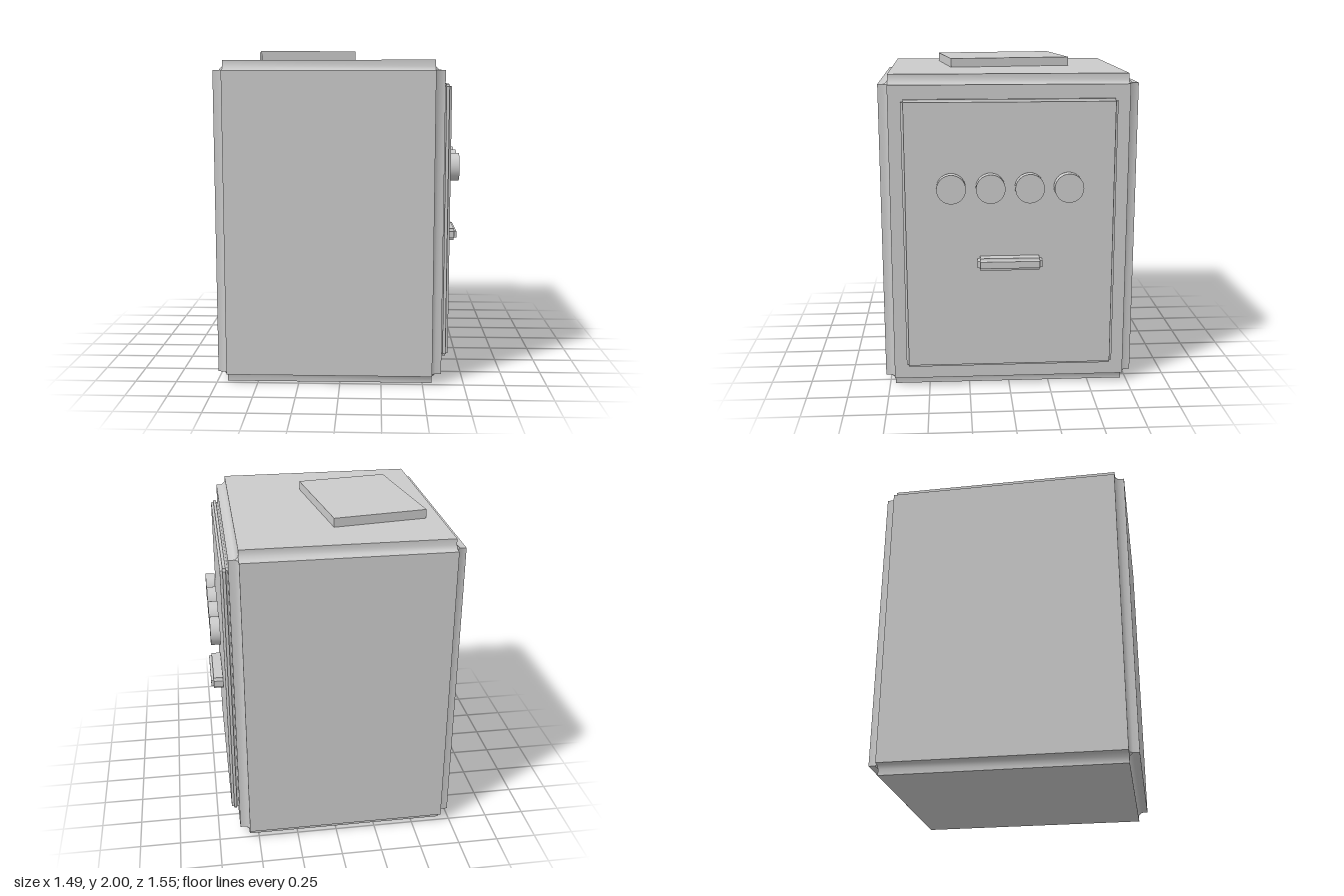
import * as THREE from 'three';

const material = new THREE.MeshStandardMaterial({ color: 0xcccccc });

// Box whose edges are cut by a stepped groove of depth i, with a small diagonal in its inner corner.
function groovedBox(name, min, max, i) {
  const half = max.map((m, k) => (m - min[k]) / 2);
  const positions = [], index = [], lookup = new Map();

  // Points in the same shading group share normals
  const vertex = (p, group) => {
    const key = group + p.map(v => v.toFixed(5)).join();
    if (!lookup.has(key)) {
      lookup.set(key, positions.length / 3);
      positions.push(...p);
    }
    return lookup.get(key);
  };
  // Adds a convex polygon, wound so that it faces along the hint
  const polygon = (points, hint, group) => {
    const [a, b, c] = points.map(p => new THREE.Vector3(...p));
    const normal = b.clone().sub(a).cross(c.clone().sub(a));
    const ring = normal.dot(new THREE.Vector3(...hint)) < 0 ? [...points].reverse() : points;
    const ids = ring.map(p => vertex(p, group));
    for (let n = 1; n < ids.length - 1; n++) index.push(ids[0], ids[n], ids[n + 1]);
  };

  const step = i * 0.64;
  const profile = [[0, i], [step, i], [i, step], [i, 0]];
  const signs = [-1, 1];

  for (let k = 0; k < 3; k++) {
    const u = (k + 1) % 3, v = (k + 2) % 3;

    // Flat faces across axis k
    for (const s of signs) {
      const corners = [[-1, -1], [1, -1], [1, 1], [-1, 1]].map(([a, b]) => {
        const p = [];
        p[k] = s * half[k];
        p[u] = a * (half[u] - i);
        p[v] = b * (half[v] - i);
        return p;
      });
      const hint = [0, 0, 0];
      hint[k] = s;
      polygon(corners, hint, 'face' + k + s);
    }

    // Grooves running along axis k
    for (const su of signs) for (const sv of signs) {
      const at = ([a, b], end) => {
        const p = [];
        p[k] = end * (half[k] - i);
        p[u] = su * (half[u] - a);
        p[v] = sv * (half[v] - b);
        return p;
      };
      const hint = [0, 0, 0];
      hint[u] = su;
      hint[v] = sv;
      for (let n = 0; n < 3; n++) {
        const a = profile[n], b = profile[n + 1];
        polygon([at(a, -1), at(b, -1), at(b, 1), at(a, 1)], hint, 'groove' + k + su + sv);
      }
    }
  }

  // Small triangle where three grooves meet
  for (const x of signs) for (const y of signs) for (const z of signs) {
    const s = [x, y, z];
    const points = [0, 1, 2].map(k => s.map((d, j) => d * (half[j] - (j === k ? step : i))));
    polygon(points, s, 'corner' + s);
  }

  const geometry = new THREE.BufferGeometry();
  geometry.setAttribute('position', new THREE.Float32BufferAttribute(positions, 3));
  geometry.setIndex(index);
  geometry.computeVertexNormals();
  const mesh = new THREE.Mesh(geometry, material);
  mesh.name = name;
  mesh.position.set(...min.map((m, k) => (m + max[k]) / 2));
  return mesh;
}

export function createModel() {
  const model = new THREE.Group();
  model.name = 'cabinet';

  // Body, door panel and handle share the grooved edge
  model.add(
    groovedBox('body', [-0.745, 0, -0.775], [0.615, 1.945, 0.775], 0.058),
    groovedBox('door', [0.612, 0.145, -0.64], [0.66, 1.805, 0.64], 0.015),
    groovedBox('handle', [0.645, 0.785, -0.192], [0.74, 0.86, 0.198], 0.017)
  );

  // Row of round knobs in front of the door
  const knobGeometry = new THREE.CylinderGeometry(0.087, 0.087, 0.06, 32).rotateZ(-Math.PI / 2);
  for (let n = 0; n < 4; n++) {
    const knob = new THREE.Mesh(knobGeometry, material);
    knob.name = 'knob' + (n + 1);
    knob.position.set(0.7, 1.285, (n - 1.5) * 0.233 + 0.002);
    model.add(knob);
  }

  // Slab lying askew on the top
  const slab = new THREE.Mesh(new THREE.BoxGeometry(0.58, 0.055, 0.773), material);
  slab.name = 'topSlab';
  slab.position.set(-0.258, 1.9725, -0.002);
  slab.rotation.y = 0.141;
  model.add(slab);

  return model;
}
